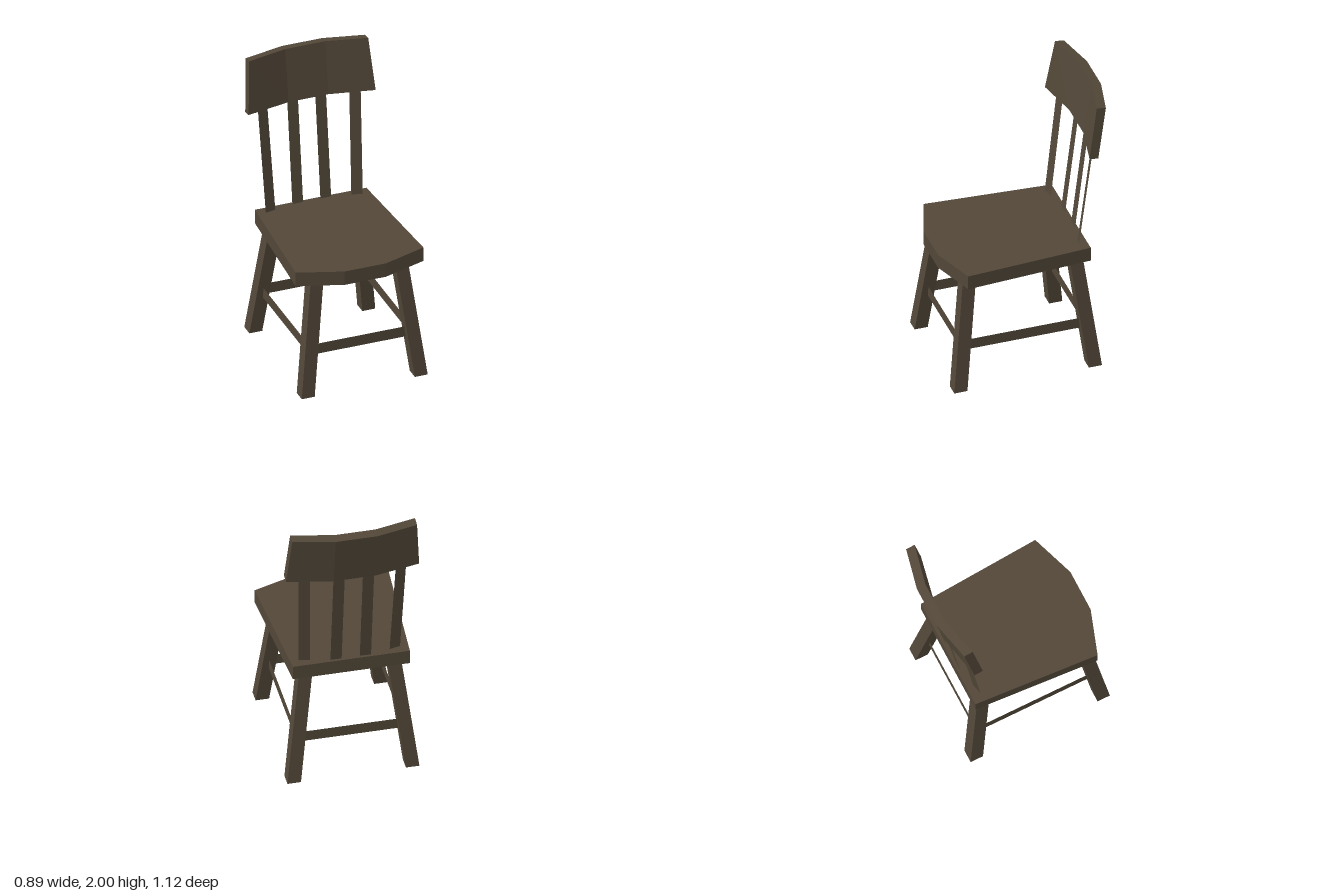
import * as THREE from 'three';

// Flat-sided solid through a row of four-point rings, capped at both ends.
function loft(rings) {
  const pos = [];
  const quad = (a, b, c, d) => pos.push(...a, ...b, ...c, ...a, ...c, ...d);
  for (let r = 0; r < rings.length - 1; r++) {
    const a = rings[r], b = rings[r + 1];
    for (let i = 0; i < 4; i++) {
      const j = (i + 1) % 4;
      quad(a[i], a[j], b[j], b[i]);
    }
  }
  quad(...[...rings[0]].reverse());
  quad(...rings[rings.length - 1]);
  const geo = new THREE.BufferGeometry();
  geo.setAttribute('position', new THREE.Float32BufferAttribute(pos, 3));
  geo.computeVertexNormals();
  return geo;
}

export function createModel() {
  const chair = new THREE.Group();
  chair.name = 'chair';
  const wood = new THREE.MeshStandardMaterial({ color: 0x524738 });
  wood.name = 'dark wood';
  const slatWood = new THREE.MeshStandardMaterial({ color: 0x524738, side: THREE.DoubleSide });
  slatWood.name = 'dark wood slat';

  const add = (name, geo, mat = wood) => {
    const mesh = new THREE.Mesh(geo, mat);
    mesh.name = name;
    chair.add(mesh);
    return mesh;
  };

  // Seat: tapered towards the back, with a faceted front edge
  const outline = [[-0.39, -0.405], [-0.447, 0.457], [-0.145, 0.56], [0.145, 0.56], [0.447, 0.457], [0.39, -0.405]];
  const shape = new THREE.Shape(outline.map(([x, z]) => new THREE.Vector2(x, -z)));
  const seat = new THREE.ExtrudeGeometry(shape, { depth: 0.1, bevelEnabled: false });
  seat.rotateX(-Math.PI / 2).translate(0, 0.8, 0);
  add('seat', seat);

  // Splayed square legs
  const square = (x, y, z, h = 0.045) =>
    [[x + h, y, z + h], [x + h, y, z - h], [x - h, y, z - h], [x - h, y, z + h]];
  for (const s of [-1, 1]) {
    const side = s > 0 ? 'Left' : 'Right';
    add('front' + side + 'Leg', loft([square(s * 0.395, 0, 0.505), square(s * 0.297, 0.8, 0.412)]));
    add('back' + side + 'Leg', loft([square(s * 0.395, 0, -0.42), square(s * 0.297, 0.8, -0.322)]));
  }

  // Thin stretchers between the legs
  for (const [name, z] of [['frontStretcher', 0.47], ['backStretcher', -0.383]])
    add(name, new THREE.PlaneGeometry(0.68, 0.075), slatWood).position.set(0, 0.307, z);
  for (const [name, x] of [['leftStretcher', 0.358], ['rightStretcher', -0.358]]) {
    const bar = add(name, new THREE.PlaneGeometry(0.82, 0.075), slatWood);
    bar.position.set(x, 0.307, 0.043);
    bar.rotation.y = Math.PI / 2;
  }

  // Thin back slats leaning backwards, the outer pair turned inwards
  const slatGeo = new THREE.PlaneGeometry(0.075, 0.78).translate(0, 0.39, 0);
  for (const [x, z, turn] of [[-0.302, -0.348, 0.23], [-0.098, -0.384, 0], [0.098, -0.384, 0], [0.302, -0.348, -0.23]]) {
    const slat = add('backSlat', slatGeo, slatWood);
    slat.position.set(x, 0.89, z);
    slat.rotation.set(-0.123, turn, 0, 'YXZ');
  }

  // Curved top rail: back bottom, back top, front top, front bottom
  const railRing = (xBottom, xTop, z) => [
    [xBottom, 1.625, z - 0.06], [xTop, 1.99, z - 0.122],
    [xTop, 2.0, z - 0.06], [xBottom, 1.635, z],
  ];
  add('topRail', loft([
    railRing(-0.444, -0.416, -0.378), railRing(-0.14, -0.14, -0.44),
    railRing(0.14, 0.14, -0.44), railRing(0.444, 0.416, -0.378),
  ]));

  return chair;
}
